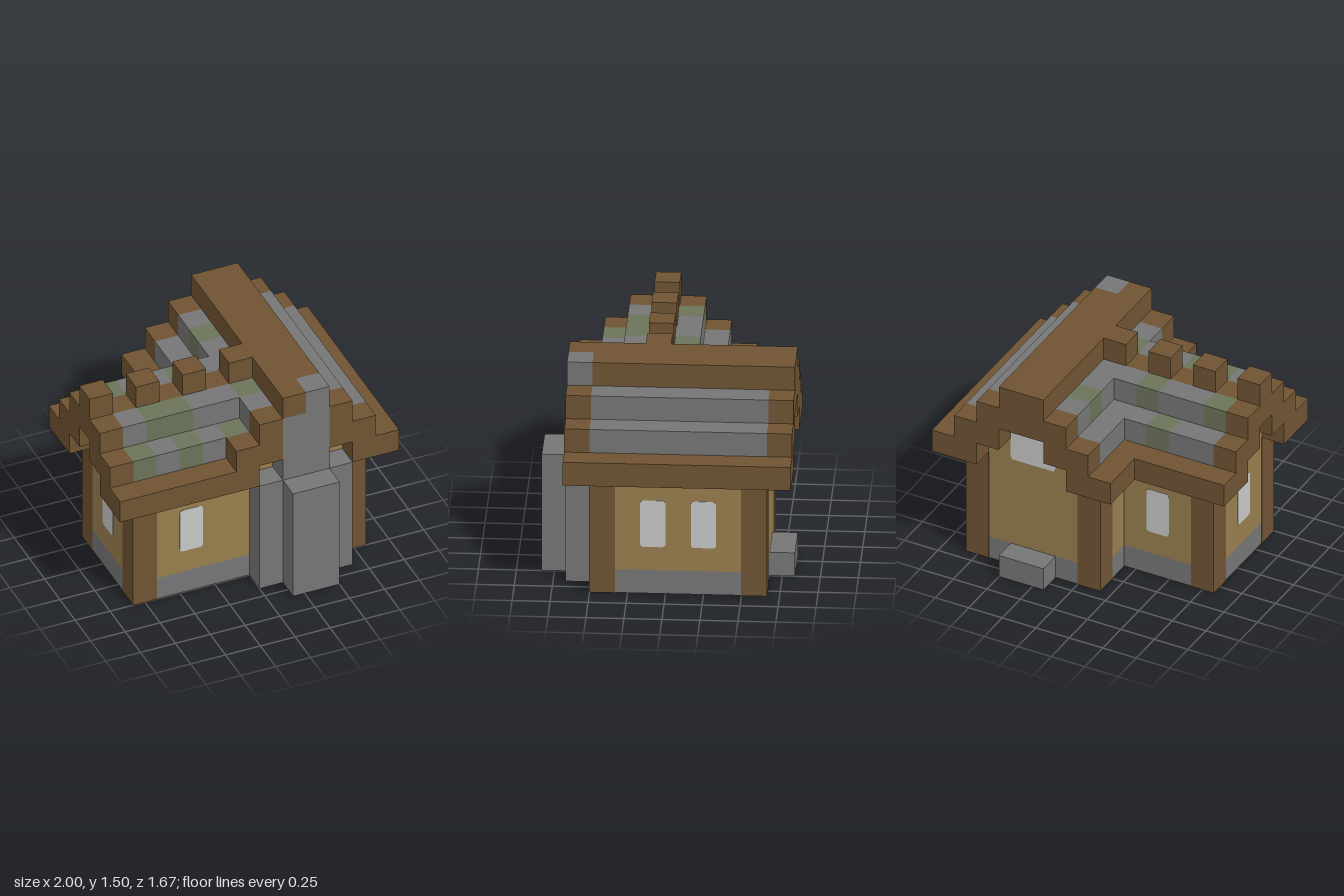
import * as THREE from 'three';

export function createModel() {
  const model = new THREE.Group();
  model.name = 'cottage';
  const mat = (name, color) => {
    const m = new THREE.MeshStandardMaterial({ color });
    m.name = name;
    return m;
  };
  const stone = mat('stone grey', 0x767676);
  const moss = mat('mossy stone', 0x6b745a);
  const timber = mat('dark timber', 0x6f5433);
  const plank = mat('light plank', 0x987e4d);
  const glass = mat('window pane', 0xc8c8c8);

  // Blocks are given by their ranges on a grid; e swells them slightly
  const box = (name, m, [x0, x1], [y0, y1], [z0, z1], e = 0) => {
    const g = new THREE.BoxGeometry(x1 - x0 + 2 * e, y1 - y0 + 2 * e, z1 - z0 + 2 * e);
    const mesh = new THREE.Mesh(g, m);
    mesh.position.set((x0 + x1) / 2, (y0 + y1) / 2, (z0 + z1) / 2);
    mesh.name = name;
    model.add(mesh);
  };

  // Foundation and walls of the main house and the side wing
  box('mainFoundation', stone, [-1, 5], [0, 1], [-4, 3]);
  box('wingFoundation', stone, [-5, -1], [0, 1], [-2, 3]);
  box('mainWalls', plank, [-1, 5], [1, 6], [-4, 3]);
  box('wingWalls', plank, [-5, -1], [1, 6], [-2, 3]);
  box('mainGable', plank, [0, 4], [6, 7], [-4, 3]);
  box('wingGable', plank, [-5, 0], [6, 7], [-1, 2]);
  box('backStep', stone, [1, 3], [0, 1], [-5, -4]);

  // Corner posts
  for (const [x, z] of [[4, 2], [4, -4], [-1, -4], [-5, -2], [-5, 2], [-1, -2]])
    box('cornerPost', timber, [x, x + 1], [0, 5], [z, z + 1], 0.01);

  // Chimney
  box('chimneyBase', stone, [1, 3], [0, 5], [3, 5]);
  for (const x of [0, 3]) box('chimneyShoulder', stone, [x, x + 1], [0, 5], [3, 4]);
  box('chimneyStack', stone, [1, 3], [5, 8], [3, 4]);
  box('chimneyTop', stone, [2, 3], [8, 9], [3, 4]);

  // Eaves
  box('rightEave', timber, [5, 6], [5, 6], [-5, 4]);
  box('leftEave', timber, [-2, -1], [5, 6], [-5, -2]);
  box('wingFrontEave', timber, [-6, -1], [5, 6], [3, 4]);
  box('wingBackEave', timber, [-6, -2], [5, 6], [-3, -2]);

  // Stepped gable trim, mirrored about each ridge
  for (const z of [-5, 3])
    for (const [x, y] of [[-1, 5], [0, 6], [3, 6], [4, 5]])
      box('mainGableTrim', timber, [x, x + 1], [y, y + 2], [z, z + 1]);
  for (const [z, y] of [[-2, 5], [-1, 6], [1, 6], [2, 5]])
    box('wingGableTrim', timber, [-6, -5], [y, y + 2], [z, z + 1]);

  // Ridges
  box('mainRidge', timber, [1, 3], [7, 9], [-5, 3]);
  box('ridgeEnd', timber, [1, 2], [8, 9], [3, 4]);
  box('wingRidge', timber, [-6, 1], [7, 8], [0, 1]);
  for (let x = -6; x <= 0; x += 2) box('ridgeBlock', timber, [x, x + 1], [8, 9], [0, 1]);

  // Roof courses: runs of stone (s) and moss (m) blocks along x or z
  const course = (axis, start, pattern, across, y) => {
    let at = start;
    for (const run of pattern.match(/s+|m+/g)) {
      const along = [at, at + run.length], side = [across, across + 1];
      const m = run[0] === 'm' ? moss : stone;
      box('roofCourse', m, axis === 'x' ? along : side, [y, y + 1], axis === 'x' ? side : along);
      at += run.length;
    }
  };
  course('z', -4, 'sssssss', 4, 6);
  course('z', -4, 'sssssss', 3, 7);
  course('z', -4, 'smss', 0, 7);
  course('z', 1, 'ms', 0, 7);
  course('z', -4, 'ss', -1, 6);
  course('x', -5, 'msmsm', 2, 6);
  course('x', -5, 'smmss', 1, 7);
  course('x', -5, 'mssms', -1, 7);
  course('x', -5, 'ssmss', -2, 6);

  // Windows: thin plates with slightly rounded corners
  const pane = (w, x, y, z, turn) => {
    const a = w / 2, r = 0.14, s = new THREE.Shape();
    s.absarc(a - r, 1 - r, r, 0, Math.PI / 2);
    s.absarc(r - a, 1 - r, r, Math.PI / 2, Math.PI);
    s.absarc(r - a, r - 1, r, Math.PI, Math.PI * 1.5);
    s.absarc(a - r, r - 1, r, Math.PI * 1.5, Math.PI * 2);
    const g = new THREE.ExtrudeGeometry(s, { depth: 0.015, bevelEnabled: false, curveSegments: 4 });
    const mesh = new THREE.Mesh(g, glass);
    mesh.position.set(x, y, z);
    mesh.rotation.y = turn;
    mesh.name = 'window';
    model.add(mesh);
  };
  pane(1, -2.5, 3, 3, 0);
  pane(1, -2.5, 3, -2, Math.PI);
  pane(1, -5, 3, 0.5, -Math.PI / 2);
  pane(1, 5, 3, 0.5, Math.PI / 2);
  pane(1, 5, 3, -1.5, Math.PI / 2);
  pane(2, 2, 6, -4, Math.PI);

  model.scale.setScalar(1 / 6);
  const root = new THREE.Group();
  root.name = 'cottageRoot';
  root.add(model);
  return root;
}
